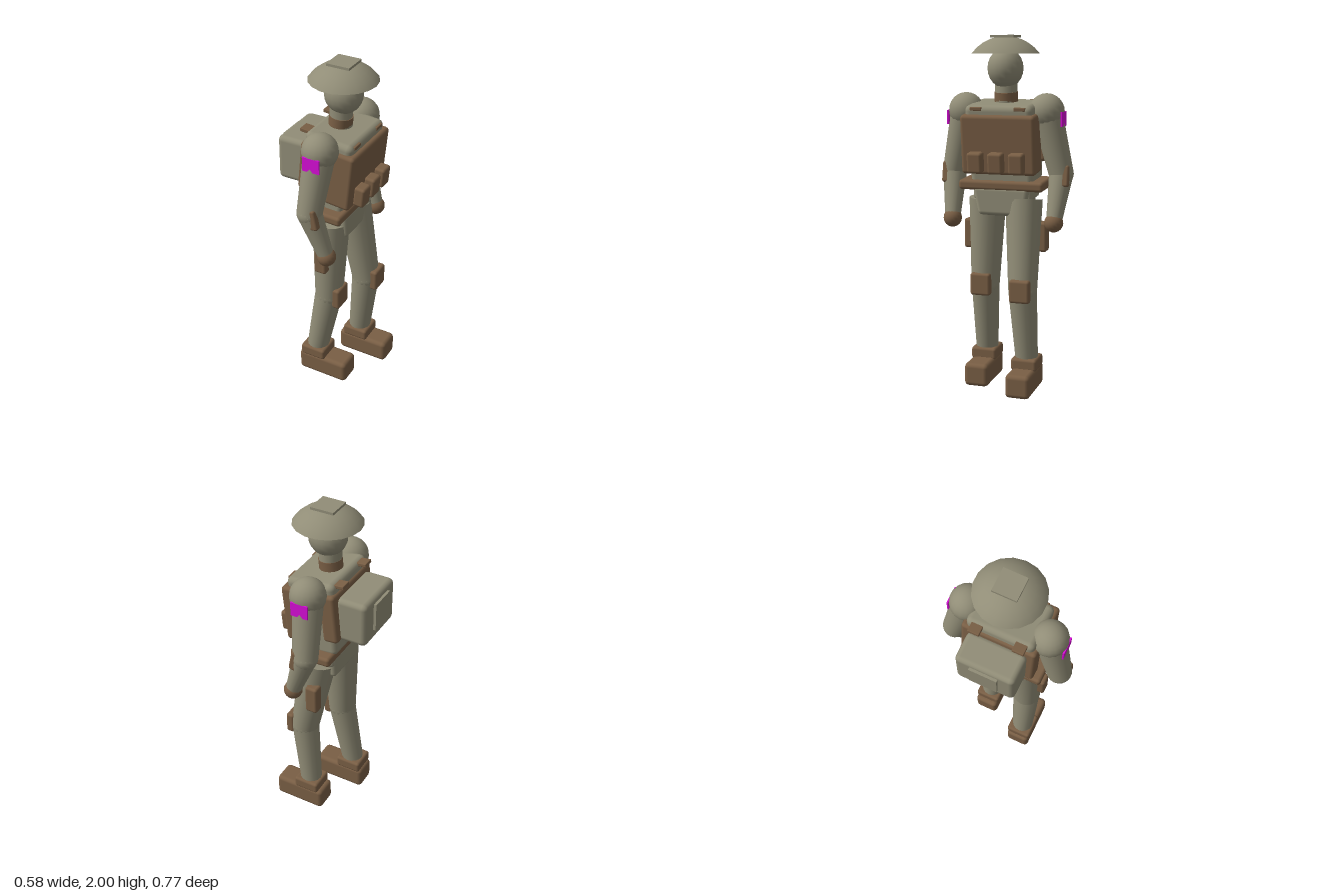
import * as THREE from 'three';
import { RoundedBoxGeometry } from 'three/addons/geometries/RoundedBoxGeometry.js';

const material = (name, color, extra = {}) => {
  const m = new THREE.MeshStandardMaterial({ color, ...extra });
  m.name = name;
  return m;
};

export function createModel() {
  const olive = material('olive cloth', 0x918d77);
  const shell = material('olive shell', 0x918d77, { side: THREE.DoubleSide });
  const brown = material('brown leather', 0x7a5f45);
  const magenta = material('magenta patch', 0xd60ed6);
  const model = new THREE.Group();
  model.name = 'fieldSoldier';

  const add = (name, geometry, mat, pos = [0, 0, 0], rotZ = 0) => {
    const mesh = new THREE.Mesh(geometry, mat);
    mesh.name = name;
    mesh.position.set(...pos);
    mesh.rotation.z = rotZ;
    model.add(mesh);
    return mesh;
  };
  // Rounded box; taper scales the bottom end in x and z
  const box = (name, mat, pos, size, r = 0.015, rotZ = 0, taper = [1, 1]) => {
    const g = new RoundedBoxGeometry(...size, 2, r);
    const p = g.attributes.position;
    if (taper[0] !== 1 || taper[1] !== 1) {
      for (let i = 0; i < p.count; i++) {
        const t = 0.5 - p.getY(i) / size[1];
        p.setX(i, p.getX(i) * (1 + (taper[0] - 1) * t));
        p.setZ(i, p.getZ(i) * (1 + (taper[1] - 1) * t));
      }
    }
    return add(name, g, mat, pos, rotZ);
  };
  const ball = (name, mat, pos, r) => add(name, new THREE.SphereGeometry(r, 18, 12), mat, pos);
  // Tapered round limb from a to b
  const limb = (name, mat, a, b, ra, rb) => {
    const from = new THREE.Vector3(...a), to = new THREE.Vector3(...b);
    const dir = from.clone().sub(to);
    const mesh = add(name, new THREE.CylinderGeometry(ra, rb, dir.length(), 16), mat);
    mesh.position.copy(from).add(to).multiplyScalar(0.5);
    mesh.quaternion.setFromUnitVectors(new THREE.Vector3(0, 1, 0), dir.normalize());
  };

  // Head and wide shallow helmet
  ball('head', olive, [0.037, 1.82, 0], 0.108).scale.set(1, 1.03, 0.93);
  add('neck', new THREE.CylinderGeometry(0.063, 0.063, 0.14, 16), olive, [0.022, 1.69, 0]);
  add('collar', new THREE.CylinderGeometry(0.066, 0.066, 0.07, 16), brown, [0.02, 1.655, 0], -0.1);
  add('helmet', new THREE.SphereGeometry(0.238, 18, 5, 0, Math.PI * 2, 0, 0.927), shell, [0.036, 1.757, 0]);
  add('helmetPlate', new THREE.BoxGeometry(0.135, 0.014, 0.135), olive, [0.036, 1.993, 0]);

  // Forward-leaning torso, armour and belt; the body faces +x
  const lean = -0.1;
  box('torso', olive, [0.025, 1.405, 0], [0.29, 0.46, 0.39], 0.035, lean, [0.76, 0.92]);
  box('chestPlate', brown, [0.12, 1.41, 0], [0.15, 0.33, 0.425], 0.02, lean);
  box('backPlate', brown, [-0.078, 1.445, 0], [0.09, 0.29, 0.425], 0.02, lean);
  for (const s of [1, -1]) {
    box('shoulderStrap', brown, [0.025, 1.617, s * 0.125], [0.333, 0.02, 0.066], 0.004, lean);
  }
  for (const z of [-0.118, 0, 0.118]) {
    box('chestPouch', brown, [0.213, 1.31, z], [0.065, 0.115, 0.085], 0.015, lean);
  }
  box('belt', brown, [0.022, 1.178, 0], [0.245, 0.055, 0.49], 0.018, -0.04);
  box('waist', olive, [0.015, 1.17, 0], [0.19, 0.16, 0.34], 0.02, -0.05);
  box('pelvis', olive, [0.025, 1.085, 0], [0.235, 0.165, 0.33], 0.025, 0, [0.9, 0.8]);

  // Backpack with flap
  box('backpack', olive, [-0.19, 1.435, 0], [0.18, 0.26, 0.34], 0.03);
  add('backpackFlap', new THREE.BoxGeometry(0.02, 0.16, 0.16), olive, [-0.285, 1.455, 0]);

  // Arms
  for (const s of [1, -1]) {
    const shoulder = [0.025, 1.585, s * 0.235], elbow = [0.002, 1.24, s * 0.315];
    const hand = [0.095, 0.975, s * 0.298];
    ball('shoulder', olive, shoulder, 0.1);
    limb('upperArm', olive, shoulder, elbow, 0.087, 0.07);
    ball('elbow', olive, elbow, 0.07);
    limb('forearm', olive, elbow, hand, 0.069, 0.043);
    ball('hand', brown, hand, 0.053);
    box('elbowPad', brown, [0.042, 1.23, s * 0.346], [0.055, 0.12, 0.05], 0.012, 0.2);
    add('armPatch', new THREE.BoxGeometry(0.1, 0.08, 0.009), magenta, [0.024, 1.545, s * 0.33]);
  }

  // Legs in mid-stride: hip, knee, ankle and boot x for each side
  const strides = [
    { s: 1, hip: 0.02, knee: 0.015, ankle: -0.058, boot: 0.008 },
    { s: -1, hip: 0.038, knee: 0.123, ankle: 0.08, boot: 0.133 },
  ];
  for (const { s, hip, knee, ankle, boot } of strides) {
    const h = [hip, 1.09, s * 0.11], k = [knee, 0.585, s * 0.128], a = [ankle, 0.16, s * 0.142];
    limb('thigh', olive, h, k, 0.106, 0.082);
    ball('knee', olive, k, 0.082);
    limb('shin', olive, k, a, 0.081, 0.064);
    box('kneePad', brown, [knee + 0.073, 0.595, s * 0.132], [0.05, 0.13, 0.118], 0.015);
    box('thighPouch', brown, [0.018, 0.88, s * 0.212], [0.075, 0.17, 0.065], 0.015);
    box('bootCuff', brown, [ankle + 0.002, 0.155, s * 0.142], [0.157, 0.07, 0.15], 0.016);
    box('boot', brown, [boot, 0.067, s * 0.142], [0.314, 0.134, 0.142], 0.025);
  }
  return model;
}
